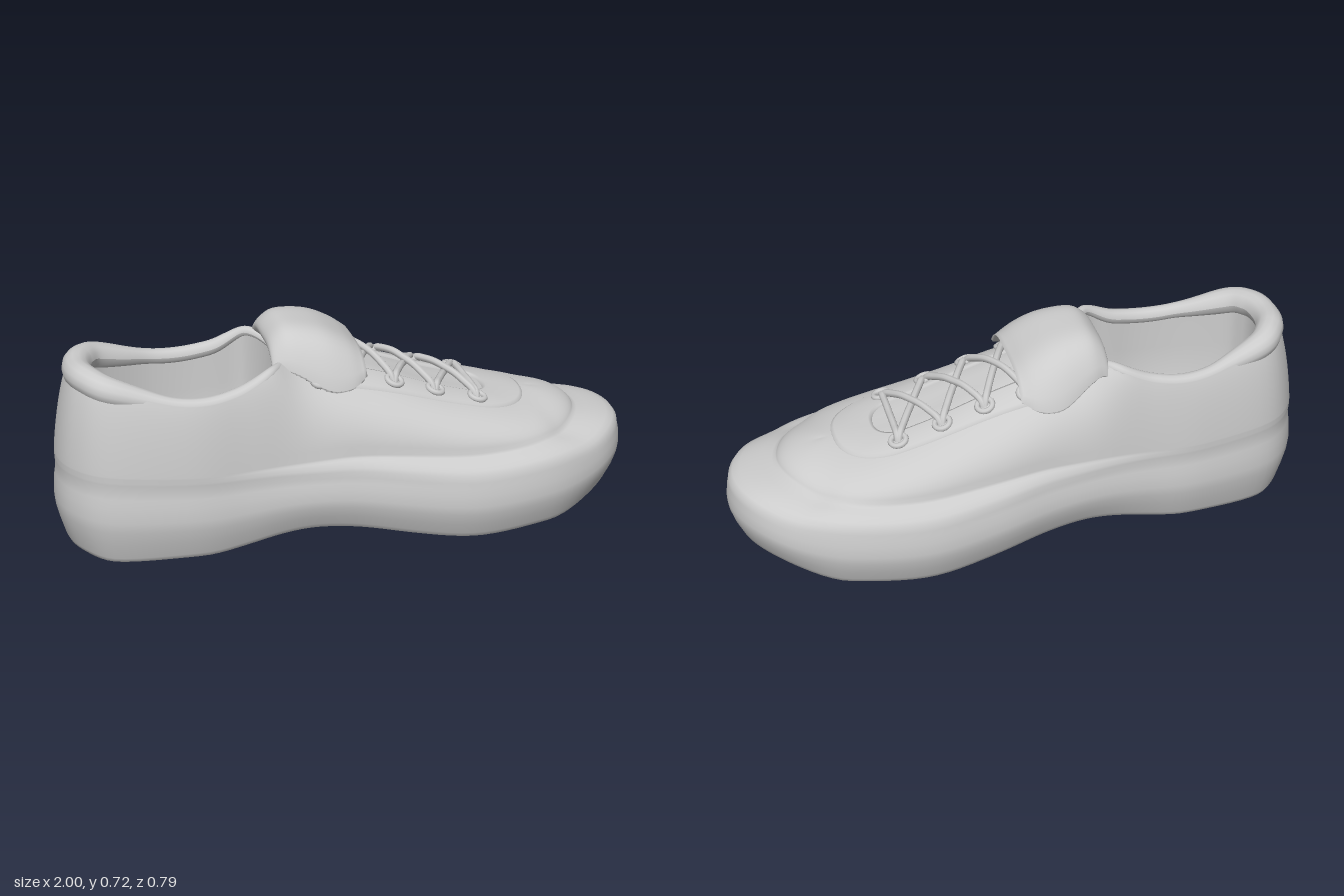
import * as THREE from 'three';

const V = (x, y, z) => new THREE.Vector3(x, y, z);
const mat = new THREE.MeshStandardMaterial({ color: 0xcccccc, side: THREE.DoubleSide });
const sm = THREE.MathUtils.smoothstep;
const lerp = THREE.MathUtils.lerp;

// Smooth value along x through a few [x, value] stops
function ramp(stops) {
  return x => {
    if (x <= stops[0][0]) return stops[0][1];
    for (let i = 1; i < stops.length; i++) {
      const [x0, a] = stops[i - 1], [x1, b] = stops[i];
      if (x <= x1) return lerp(a, b, sm(x, x0, x1));
    }
    return stops[stops.length - 1][1];
  };
}

// Skin over rows of points; closed joins the end of each row to its start
function loft(name, rows, closed = true) {
  const n = rows[0].length, idx = [];
  for (let i = 0; i < rows.length - 1; i++)
    for (let j = 0; j < (closed ? n : n - 1); j++) {
      const a = i * n + j, b = i * n + (j + 1) % n;
      idx.push(a, b, a + n, b, b + n, a + n);
    }
  const g = new THREE.BufferGeometry().setFromPoints(rows.flat());
  g.setIndex(idx);
  g.computeVertexNormals();
  const m = new THREE.Mesh(g, mat);
  m.name = name;
  return m;
}

// Half-side stations, heel to toe: outline x, z, then upper end x, y, z
const stations = [
  [-1, 0, -0.93, 0.625, 0], [-0.965, 0.14, -0.905, 0.625, 0.105],
  [-0.85, 0.245, -0.82, 0.605, 0.19], [-0.6, 0.292, -0.6, 0.55, 0.246],
  [-0.4, 0.292, -0.43, 0.56, 0.245], [-0.25, 0.3, -0.28, 0.618, 0.2],
  [-0.05, 0.328, -0.17, 0.605, 0], [0.15, 0.368, 0.08, 0.535, 0],
  [0.4, 0.397, 0.3, 0.452, 0], [0.65, 0.364, 0.48, 0.405, 0],
  [0.84, 0.272, 0.59, 0.39, 0], [0.957, 0.15, 0.64, 0.384, 0],
  [1, 0, 0.66, 0.38, 0],
];
const mirrorLoop = pts => {
  const back = pts.slice(1, -1).reverse().map(p => V(p.x, p.y, -p.z));
  return new THREE.CatmullRomCurve3([...pts, ...back], true, 'catmullrom', 0.5);
};
const shift = p => { p.z += 0.018 * sm(-p.x, -0.1, 0.5); return p; };
const inward = (curve, u) => {
  const t = curve.getTangent(u);
  return V(t.z, 0, -t.x).normalize();
};

const N = 144;
const around = f => Array.from({ length: N }, (_, j) => shift(f(j / N)));

const ground = ramp([[-1, 0.02], [-0.85, 0.003], [-0.55, 0.01], [-0.16, 0.068], [0.4, 0.003], [0.65, 0.012], [0.98, 0.075]]);
const rim = ramp([[-1, 0.3], [-0.4, 0.278], [-0.1, 0.275], [0.4, 0.232], [0.8, 0.245], [1, 0.278]]);
const rise = ramp([[-0.6, 0.03], [0.3, 0.06], [0.7, 0.055], [1, 0.036]]);

// Sole and upper as one continuous skin
function shell() {
  const outline = mirrorLoop(stations.map(s => V(s[0], 0, s[1])));
  const end = mirrorLoop(stations.map(s => V(s[2], s[3], s[4])));
  const ring = (inset, y) => around(u => {
    const p = outline.getPoint(u), yy = y(p.x);
    return p.addScaledVector(inward(outline, u), inset).setY(yy);
  });
  const level = k => x => lerp(ground(x), rim(x), k);
  const underside = (kx, kz) => around(u => {
    const p = outline.getPoint(u);
    return V(p.x * kx, ground(p.x * kx), p.z * kz);
  });
  // Outline drawn in over the toe and the sides of the vamp
  const vamp = (k, lift) => around(u => {
    const p = outline.getPoint(u), q = inward(outline, u).multiplyScalar(0.009);
    return V(p.x * (1 - 0.165 * k * sm(p.x, 0.3, 1)) + q.x, rim(p.x) + lift * rise(p.x),
      p.z * (1 - 0.18 * k * sm(p.x, -0.6, 0.5)) + q.z);
  });
  const rows = [
    underside(0.9, 0), underside(0.92, 0.45), ring(0.042, ground), ring(0.036, x => ground(x) + 0.003),
    ring(0.029, x => ground(x) + 0.018), ring(0.014, level(0.25)), ring(0.003, level(0.42)), ring(0, level(0.55)),
    ring(0.003, level(0.72)), ring(0.008, level(0.83)), ring(0.011, level(0.92)),
    vamp(0.1, 0.08), vamp(0.25, 0.32), vamp(0.45, 0.55), vamp(0.7, 0.74), vamp(0.92, 0.85),
  ];
  const base = vamp(1, 1);
  rows.push(base);
  const K = 14;
  for (let k = 1; k <= K; k++) {
    rows.push(base.map((b, j) => {
      const c = shift(end.getPoint(j / N)), s = k / K, a = s * Math.PI / 2;
      const f = lerp(0.4, 1, sm(b.x, -0.4, 0)) - 0.25 * sm(b.x, 0.4, 0.8);
      const h = lerp(s, 1 - Math.cos(a), f), v = lerp(s, Math.sin(a), f);
      return V(lerp(b.x, c.x, h), lerp(b.y, c.y, v), lerp(b.z, c.z, h));
    }));
  }
  const mesh = loft('soleAndUpper', rows);
  // Even shading across the centre ridge
  const nor = mesh.geometry.attributes.normal;
  rows[rows.length - 1].forEach((p, j) => {
    const i = (rows.length - 1) * N + j;
    if (p.x > 0) {
      const n = V(nor.getX(i), nor.getY(i), 0).normalize();
      nor.setXYZ(i, n.x, n.y, 0);
    }
  });
  return mesh;
}

// Padded collar roll and the lining below it
function collarParts() {
  const loop = mirrorLoop([...stations.slice(0, 6).map(s => V(s[2], s[3], s[4])), V(-0.2, 0.59, 0)]);
  const radius = ramp([[-0.86, 0.048], [-0.62, 0.027], [-0.4, 0.027], [-0.22, 0.015]]);
  const bulge = ramp([[-0.86, 0.018], [-0.68, 0]]);
  const rows = [];
  for (let k = 0; k <= 14; k++) {
    const a = k / 14 * Math.PI * 2;
    rows.push(around(u => {
      const p = loop.getPoint(u), r = radius(p.x);
      p.addScaledVector(inward(loop, u), r * (0.97 + Math.cos(a)) - bulge(p.x));
      p.y += r * (Math.sin(a) - 0.32);
      return p;
    }));
  }
  const drop = (d, y, t) => around(u => {
    const p = loop.getPoint(u);
    p.addScaledVector(inward(loop, u), d + radius(p.x));
    return p.setY(lerp(p.y - 0.01, y, t));
  });
  const lining = [drop(0.012, 0.28, 0), drop(0.015, 0.28, 0.5), drop(0.02, 0.28, 0.92), drop(0.035, 0.28, 1),
    around(() => V(-0.55, 0.28, 0))];
  return [loft('collar', rows), loft('lining', lining)];
}

// Folded-over tongue: rows of x, y, half width, side drop
function tongueFlap() {
  const keys = [
    [-0.18, 0.57, 0.14, 0.03], [-0.24, 0.61, 0.165, 0.06], [-0.278, 0.66, 0.175, 0.08], [-0.25, 0.702, 0.185, 0.1],
    [-0.2, 0.72, 0.207, 0.13], [-0.1, 0.705, 0.243, 0.17], [-0.02, 0.668, 0.238, 0.135], [0.035, 0.628, 0.205, 0.07]];
  const path = new THREE.CatmullRomCurve3(keys.map(k => V(k[0], k[1], 0)), false, 'catmullrom', 0.5);
  const side = new THREE.CatmullRomCurve3(keys.map(k => V(k[2], k[3], 0)), false, 'catmullrom', 0.5);
  const rows = [], M = 24;
  for (let i = 0; i <= 36; i++) {
    const p = path.getPoint(i / 36), t = path.getTangent(i / 36), w = side.getPoint(i / 36);
    const row = [];
    for (const under of [0, 1])
      for (let j = 0; j <= M; j++) {
        const s = (under ? -1 : 1) * (j / M * 2 - 1), th = 0.009 * under;
        const skew = s < 0 ? 1.05 : 0.96;
        row.push(V(p.x + t.y * th, p.y - t.x * th - w.y * Math.abs(s) ** 4, s * w.x * skew * (1 - 0.02 * under) - 0.01));
      }
    rows.push(row);
  }
  const mid = r => r.map((p, j) => p.clone().lerp(r[r.length - 1 - j], 0.5));
  rows.unshift(mid(rows[0]));
  rows.push(mid(rows[rows.length - 1]));
  return loft('tongueFlap', rows);
}

export function createModel() {
  const g = new THREE.Group();
  g.name = 'shoe';
  const body = shell();
  g.add(body, ...collarParts(), tongueFlap());

  // Height of the upper below a point
  const ray = new THREE.Raycaster();
  const top = (x, z) => {
    ray.set(V(x, 2, z + 0.0007), V(0, -1, 0));
    const hit = ray.intersectObject(body)[0];
    return hit ? hit.point.y : 0.58;
  };

  // U-shaped eyelet panel around the throat
  const uRow = (w, xs, xe, lift) => Array.from({ length: 81 }, (_, i) => {
    const s = i / 80 * 3 - 1.5;
    const a = THREE.MathUtils.clamp(s, -0.5, 0.5) * Math.PI;
    const back = Math.max(0, Math.abs(s) - 0.5);
    const x = lerp(xs, -0.13, back) + (xe - xs) * Math.cos(a);
    const z = w * Math.sign(a) * Math.abs(Math.sin(a)) ** 0.8;
    return V(x, top(x, z) + lift, z);
  });
  g.add(loft('eyeletPanel', [
    uRow(0.19, 0.43, 0.635, -0.006), uRow(0.188, 0.43, 0.632, 0.005), uRow(0.18, 0.43, 0.622, 0.009),
    uRow(0.145, 0.42, 0.575, 0.011), uRow(0.105, 0.41, 0.505, 0.012), uRow(0.096, 0.41, 0.495, 0.009),
    uRow(0.093, 0.41, 0.49, -0.006)], false));

  // Eyelets, five pairs
  const holes = [[0.435, 0.145], [0.285, 0.143], [0.14, 0.145], [0, 0.155], [-0.13, 0.185]];
  const at = (i, s, lift) => V(holes[i][0], top(holes[i][0], s * holes[i][1]) + lift, s * holes[i][1]);
  const eyelets = new THREE.Group();
  eyelets.name = 'eyelets';
  holes.forEach((_, i) => [-1, 1].forEach(s => {
    const p = at(i, s, 0.014), e = 0.02;
    const n = V(-(top(p.x + e, p.z) - top(p.x - e, p.z)), 2 * e, -(top(p.x, p.z + e) - top(p.x, p.z - e))).normalize();
    const ring = new THREE.Mesh(new THREE.TorusGeometry(0.026, 0.01, 8, 24), mat);
    ring.name = 'eyelet';
    ring.position.copy(p);
    ring.quaternion.setFromUnitVectors(V(0, 0, 1), n);
    eyelets.add(ring);
  }));
  g.add(eyelets);

  // Laces: one bar at the front, then crossing pairs
  const laces = new THREE.Group();
  laces.name = 'laces';
  const lace = (a, b, lift) => {
    const pts = [a.clone().setY(a.y - 0.02)];
    for (let k = 0; k <= 6; k++) {
      const p = a.clone().lerp(b, 0.06 + 0.88 * k / 6);
      p.y = Math.max(p.y, top(p.x, p.z) + 0.012) + 0.01 + lift * Math.sin(Math.PI * k / 6);
      pts.push(p);
    }
    pts.push(b.clone().setY(b.y - 0.02));
    const m = new THREE.Mesh(new THREE.TubeGeometry(new THREE.CatmullRomCurve3(pts), 40, 0.0125, 8), mat);
    m.name = 'lace';
    laces.add(m);
  };
  lace(at(0, 1, 0.012), at(0, -1, 0.012), 0.002);
  for (let i = 0; i < 4; i++)
    [-1, 1].forEach(s => lace(at(i, s, 0.012), at(i + 1, -s, 0.012), s > 0 ? 0.026 : 0.006));
  g.add(laces);
  return g;
}
